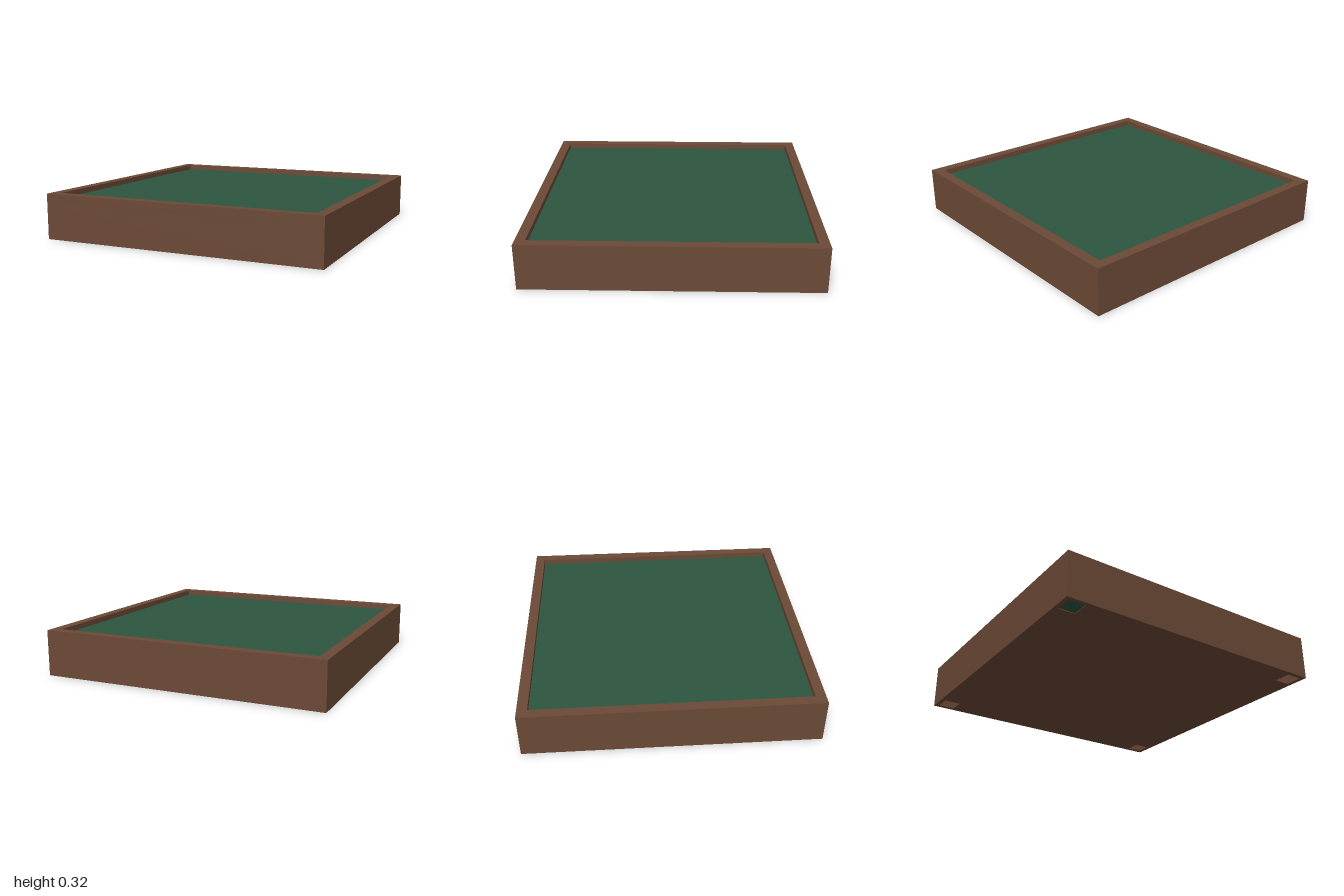
import * as THREE from 'three';

const wood = new THREE.MeshStandardMaterial({ color: 0x6b4936 });
wood.name = 'brown wood';
const felt = new THREE.MeshStandardMaterial({ color: 0x2d553e });
felt.name = 'green felt';

// Square path centred on (cx, cy) with half-width h
function square(PathType, h, cx = 0, cy = 0) {
  const p = new PathType();
  p.moveTo(cx - h, cy - h);
  p.lineTo(cx + h, cy - h);
  p.lineTo(cx + h, cy + h);
  p.lineTo(cx - h, cy + h);
  p.closePath();
  return p;
}

// Flat horizontal slab with holes, from y0 to y1
function slab(name, outer, holes, y0, y1, material) {
  const shape = square(THREE.Shape, outer);
  shape.holes.push(...holes);
  const geo = new THREE.ExtrudeGeometry(shape, { depth: y1 - y0, bevelEnabled: false });
  geo.rotateX(-Math.PI / 2);
  geo.translate(0, y0, 0);
  const mesh = new THREE.Mesh(geo, material);
  mesh.name = name;
  return mesh;
}

export function createModel() {
  const group = new THREE.Group();
  group.name = 'feltTopTray';

  // Thin skirt walls below, wider rim around the recessed felt
  group.add(slab('skirtWalls', 1, [square(THREE.Path, 0.97)], 0, 0.25, wood));
  group.add(slab('topRim', 1, [square(THREE.Path, 0.93)], 0.25, 0.32, wood));

  // Recessed playing surface
  group.add(slab('feltSurface', 0.97, [], 0.249, 0.282, felt));

  // Bottom panel with a square leg socket in each corner
  const sockets = [];
  for (const sx of [-1, 1]) {
    for (const sz of [-1, 1]) sockets.push(square(THREE.Path, 0.059, sx * 0.91, sz * 0.91));
  }
  group.add(slab('bottomPanel', 0.97, sockets, 0, 0.004, wood));

  return group;
}
